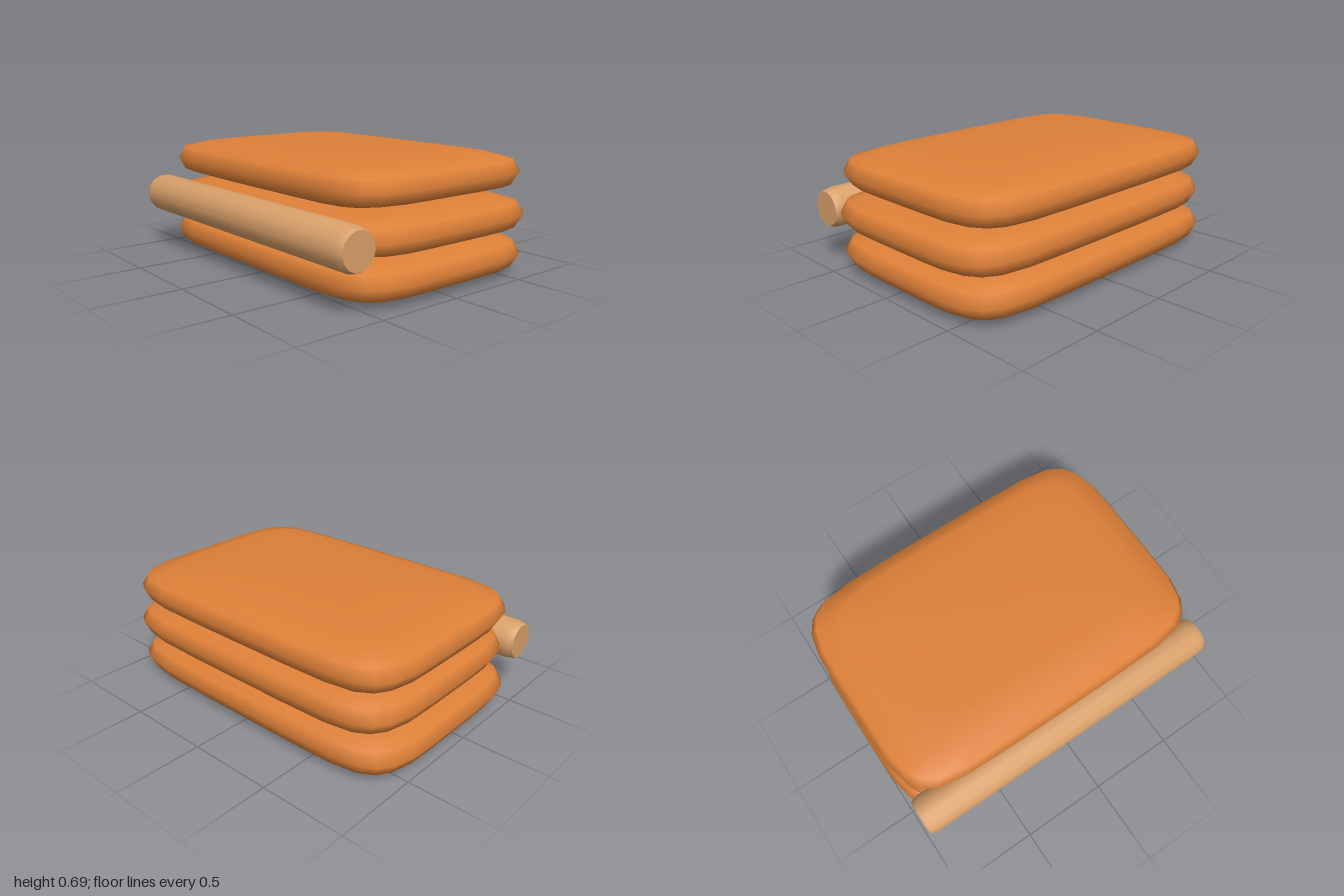
import * as THREE from 'three';
import { toCreasedNormals } from 'three/addons/utils/BufferGeometryUtils.js';

// One quarter of the rounded outline, from the +x side to the +z side (unit half sizes)
const QUARTER = [[1, 0], [1, 0.3], [0.995, 0.56], [0.965, 0.76], [0.915, 0.875], [0.83, 0.95], [0.66, 0.99], [0.33, 1]];
// Height, x scale and z scale of each ring above the widest one
const RINGS = [[0, 1, 1], [0.067, 0.962, 0.96], [0.097, 0.83, 0.83], [0.11, 0.62, 0.6]];

function outline() {
  const mirrorX = ([x, z]) => [-x, z];
  const half = [...QUARTER, [0, 1], ...QUARTER.slice(1).reverse().map(mirrorX)];
  return [...half, ...half.map(([x, z]) => [-x, -z])];
}

// Pillow-shaped fold, closed by a fan at top and bottom
function padGeometry(hx, hz) {
  const loop = outline(), n = loop.length;
  const below = RINGS.slice(1).reverse().map(([y, sx, sz]) => [-y, sx, sz]);
  const rings = [...below, ...RINGS];
  const pos = [], index = [];
  for (const [y, sx, sz] of rings) for (const [x, z] of loop) pos.push(x * hx * sx, y, z * hz * sz);
  pos.push(0, -0.115, 0, 0, 0.115, 0);
  const bottom = rings.length * n, top = bottom + 1, last = bottom - n;
  for (let i = 0; i < n; i++) {
    const k = (i + 1) % n;
    for (let j = 0; j < rings.length - 1; j++) {
      const a = j * n + i, b = j * n + k;
      index.push(a, a + n, b, b, a + n, b + n);
    }
    index.push(bottom, i, k, top, last + k, last + i);
  }
  const geo = new THREE.BufferGeometry();
  geo.setAttribute('position', new THREE.Float32BufferAttribute(pos, 3));
  geo.setIndex(index);
  geo.computeVertexNormals();
  return geo;
}

export function createModel() {
  const group = new THREE.Group();
  const orange = new THREE.MeshStandardMaterial({ name: 'orange cloth', color: 0xdd8038 });
  const tan = new THREE.MeshStandardMaterial({ name: 'tan cloth', color: 0xd9a06a });

  // Three stacked folds: x centre, y centre, half width
  const folds = [['bottomFold', -0.01, 0.12, 0.99], ['middleFold', 0.015, 0.345, 0.98], ['topFold', -0.007, 0.575, 0.963]];
  for (const [name, x, y, hx] of folds) {
    const fold = new THREE.Mesh(padGeometry(hx, 0.66), orange);
    fold.name = name;
    fold.position.set(x, y, -0.06);
    group.add(fold);
  }

  // Roll lying along the front, with softened ends
  const profile = [[0, -0.96], [0.1, -0.96], [0.108, -0.945], [0.116, -0.91], [0.116, 0.91], [0.108, 0.945], [0.1, 0.96], [0, 0.96]]
    .map(([r, y]) => new THREE.Vector2(r, y));
  const roll = new THREE.Mesh(toCreasedNormals(new THREE.LatheGeometry(profile, 14), 0.7), tan);
  roll.name = 'frontRoll';
  roll.rotation.z = Math.PI / 2;
  roll.position.set(-0.01, 0.34, 0.607);
  group.add(roll);

  return group;
}
